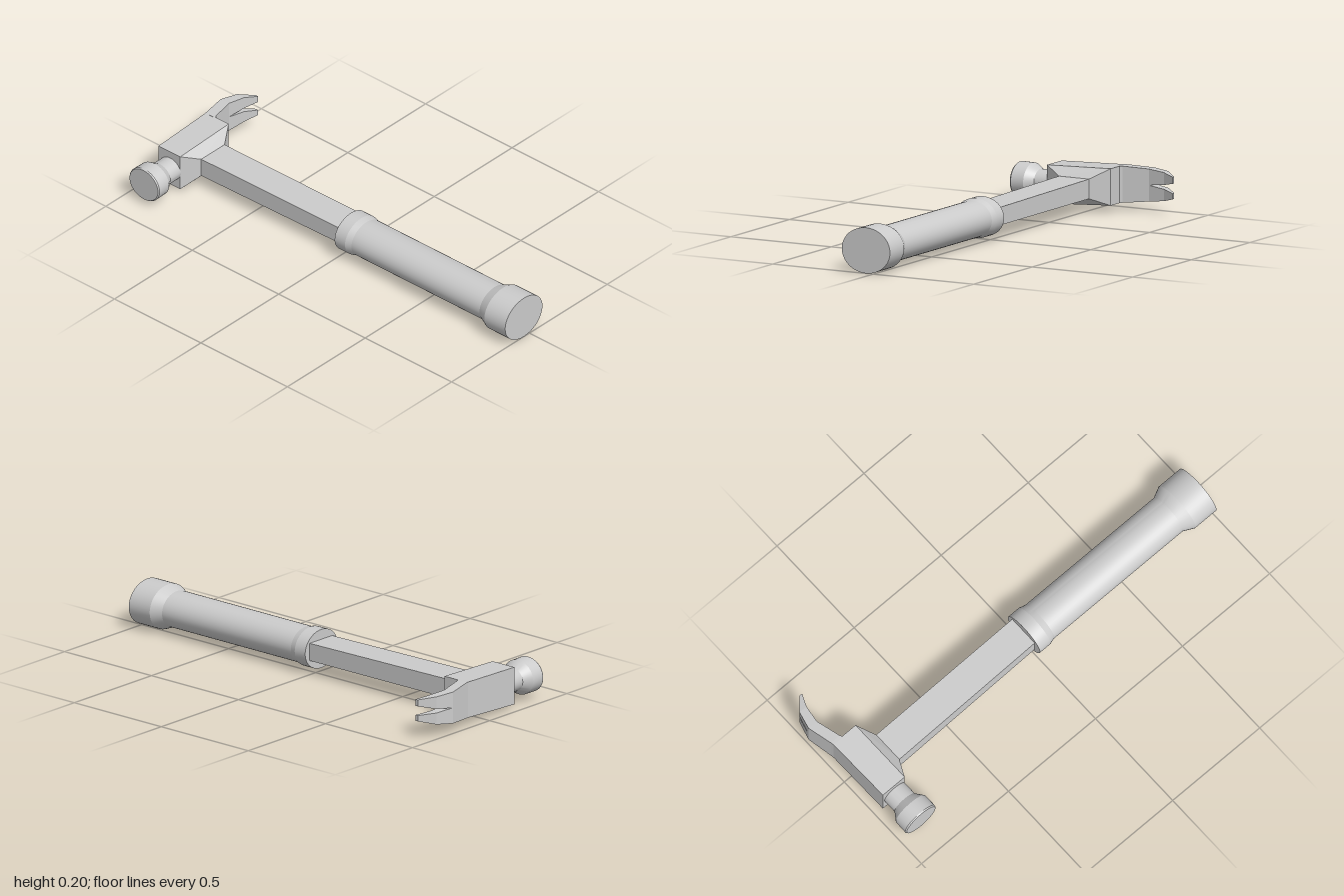
import * as THREE from 'three';
import { toCreasedNormals } from 'three/addons/utils/BufferGeometryUtils.js';

const smooth = new THREE.MeshStandardMaterial({ color: 0xcccccc });
const faceted = new THREE.MeshStandardMaterial({ color: 0xcccccc, flatShading: true });

function part(name, geometry, material) {
  const mesh = new THREE.Mesh(geometry, material);
  mesh.name = name;
  return mesh;
}

// Skin a row of four-cornered cross-sections, wound counter-clockwise about the
// direction of travel, and close both ends.
function loft(rings) {
  const out = [];
  const quad = (a, b, c, d) => out.push(...a, ...b, ...c, ...a, ...c, ...d);
  for (let r = 0; r < rings.length - 1; r++) {
    const a = rings[r], b = rings[r + 1];
    for (let i = 0; i < 4; i++) {
      const j = (i + 1) % 4;
      quad(a[i], a[j], b[j], b[i]);
    }
  }
  quad(...[...rings[0]].reverse());
  quad(...rings[rings.length - 1]);
  const g = new THREE.BufferGeometry();
  g.setAttribute('position', new THREE.Float32BufferAttribute(out, 3));
  g.computeVertexNormals();
  return g;
}

// Section across x (travelling towards +x)
const acrossX = (x, y0, y1, z0, z1) => [[x, y0, z0], [x, y1, z0], [x, y1, z1], [x, y0, z1]];
// Section across z (travelling towards -z)
const acrossZ = (z, x0, x1, y0, y1) => [[x0, y0, z], [x0, y1, z], [x1, y1, z], [x1, y0, z]];

// Turned solid from [radius, height] pairs
const turned = (profile) =>
  new THREE.LatheGeometry(profile.map(([r, h]) => new THREE.Vector2(r, h)), 40);

export function createModel() {
  const hammer = new THREE.Group();
  hammer.name = 'clawHammer';

  // Oval grip with a collar at the front and a flared butt
  const grip = turned([
    [0, 0], [0.087, 0], [0.087, 0.06], [0.08, 0.09],
    [0.08, 0.83], [0.1, 0.88], [0.1, 1], [0, 1],
  ]);
  grip.rotateZ(-Math.PI / 2).scale(1, 1, 1.2).translate(0, 0.1, 0.036);
  hammer.add(part('grip', toCreasedNormals(grip, 0.2), smooth));

  // Square shaft, slightly wider towards the head
  hammer.add(part('shaft', loft([
    acrossX(-0.8, 0.062, 0.148, -0.03, 0.12),
    acrossX(0.02, 0.064, 0.142, -0.04, 0.106),
  ]), faceted));

  // Head block, narrowing on its inner side to meet the shaft
  const block = (xBack, xFront) => [
    [xBack, 0.032, -0.11], [xBack, 0.193, -0.11],
    [xFront, 0.183, 0.205], [xFront, 0.015, 0.205],
  ];
  hammer.add(part('head', loft([
    block(-0.968, -0.96),
    block(-0.838, -0.835),
    acrossX(-0.79, 0.062, 0.148, -0.03, 0.12),
  ]), faceted));

  // Striking poll: narrow neck, cone and bevelled face
  const poll = turned([
    [0, 0.19], [0.053, 0.19], [0.053, 0.27], [0.077, 0.308],
    [0.078, 0.37], [0.074, 0.376], [0, 0.376],
  ]);
  poll.rotateX(Math.PI / 2).scale(1.11, 1, 1).translate(-0.892, 0.098, 0);
  hammer.add(part('poll', toCreasedNormals(poll, 0.4), smooth));

  // Curved claw: solid root, then two tapering tines
  const claw = new THREE.Group();
  claw.name = 'claw';
  claw.add(part('clawRoot', loft([
    acrossZ(-0.105, -0.968, -0.91, 0.032, 0.193),
    acrossZ(-0.12, -0.971, -0.92, 0.033, 0.193),
    acrossZ(-0.235, -0.997, -0.949, 0.044, 0.186),
  ]), faceted));
  const tines = {
    upperTine: [[0.115, 0.186], [0.125, 0.18], [0.14, 0.169]],
    lowerTine: [[0.044, 0.115], [0.055, 0.107], [0.072, 0.098]],
  };
  for (const [name, [root, middle, tip]] of Object.entries(tines)) {
    claw.add(part(name, loft([
      acrossZ(-0.235, -0.997, -0.949, ...root),
      acrossZ(-0.317, -0.976, -0.936, ...middle),
      acrossZ(-0.377, -0.922, -0.908, ...tip),
    ]), faceted));
  }
  hammer.add(claw);

  return hammer;
}
